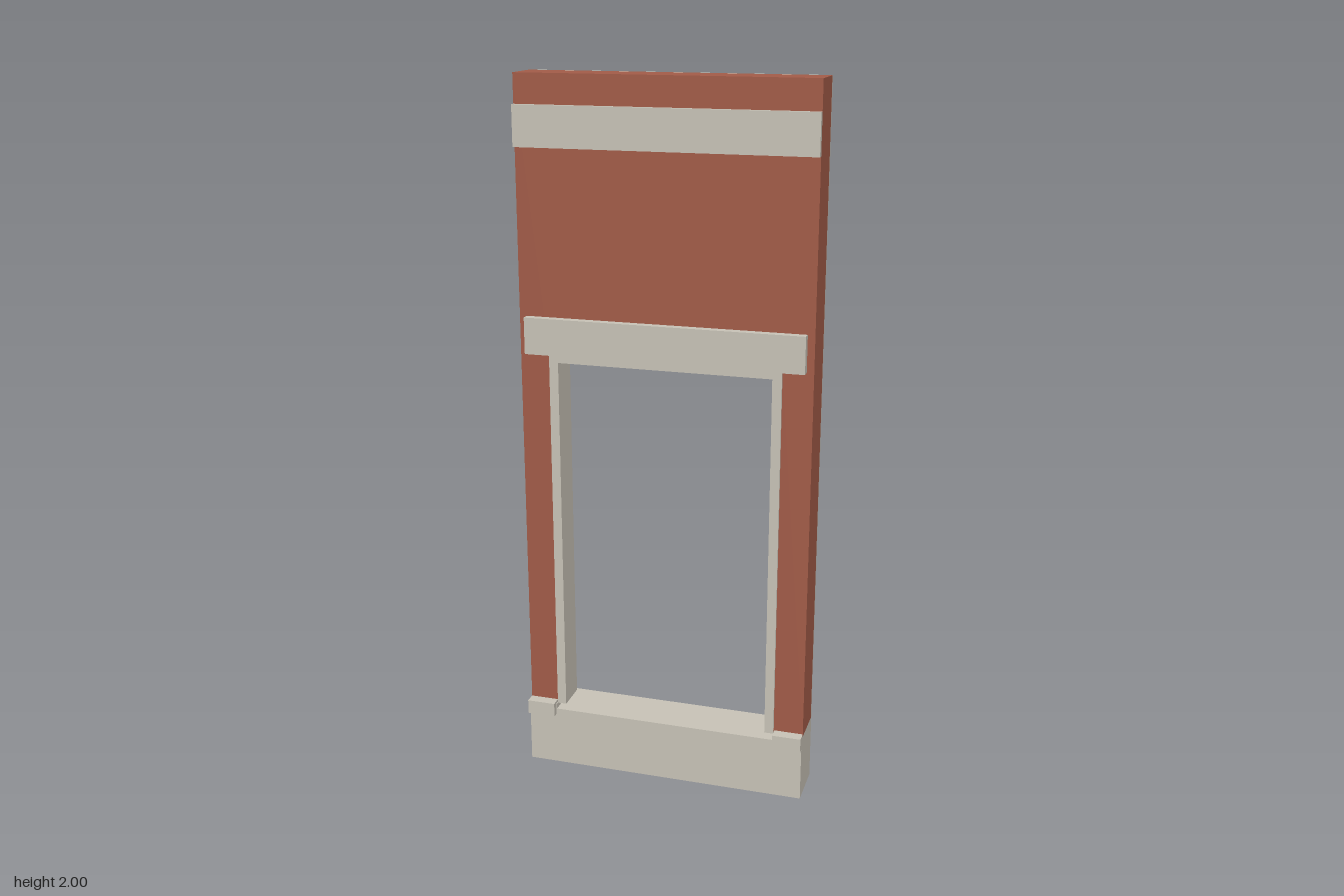
import * as THREE from 'three';

export function createModel() {
  const model = new THREE.Group();
  model.name = 'doorwayWallPanel';
  const brick = new THREE.MeshStandardMaterial({ color: 0xa45d49 });
  brick.name = 'red brick';
  const stone = new THREE.MeshStandardMaterial({ color: 0xcac5b9 });
  stone.name = 'pale stone';

  const HALF = 0.41, OPEN = 0.326, HEAD = 1.252, SILL = 0.175, BASE = 0.19;

  function add(name, geometry, material) {
    const mesh = new THREE.Mesh(geometry, material);
    mesh.name = name;
    model.add(mesh);
  }
  // box given by its limits on each axis
  function box(name, x0, x1, y0, y1, z0, z1) {
    const g = new THREE.BoxGeometry(x1 - x0, y1 - y0, z1 - z0);
    g.translate((x0 + x1) / 2, (y0 + y1) / 2, (z0 + z1) / 2);
    add(name, g, stone);
  }
  // flat outline pushed from z0 to z1
  function slab(name, points, hole, z0, z1, material) {
    const toVectors = list => list.map(([x, y]) => new THREE.Vector2(x, y));
    const shape = new THREE.Shape(toVectors(points));
    if (hole) shape.holes.push(new THREE.Path(toVectors(hole)));
    const g = new THREE.ExtrudeGeometry(shape, { depth: z1 - z0, bevelEnabled: false });
    g.translate(0, 0, z0);
    add(name, g, material);
  }
  // upside-down U around a doorway
  const arch = (outer, inner, bottom, top, head) => [
    [-outer, bottom], [-inner, bottom], [-inner, head], [inner, head],
    [inner, bottom], [outer, bottom], [outer, top], [-outer, top],
  ];

  // brick wall around the doorway
  slab('brickWall', arch(HALF, OPEN, BASE, 2, HEAD), null, -0.072, 0.045, brick);

  // plaster lining over the whole back
  slab('backPlaster',
    [[-HALF, 0], [HALF, 0], [HALF, 2], [-HALF, 2]],
    [[-OPEN, SILL], [-OPEN, HEAD], [OPEN, HEAD], [OPEN, SILL]],
    -0.079, -0.072, stone);

  // stone base, raised under the brick piers
  slab('stoneBase', [
    [-HALF, 0], [HALF, 0], [HALF, BASE], [OPEN, BASE], [OPEN, SILL],
    [-OPEN, SILL], [-OPEN, BASE], [-HALF, BASE],
  ], null, -0.072, 0.06, stone);

  // door frame, set forward in the opening
  slab('doorFrame', arch(OPEN, 0.3, BASE, HEAD, 1.23), null, -0.042, 0.051, stone);

  // front stone trim
  box('upperBand', -HALF, HALF, 1.81, 1.92, 0.045, 0.06);
  box('lintel', -0.39, 0.39, 1.253, 1.355, 0.045, 0.068);
  box('rightPierBlock', -HALF, -0.328, 0.157, 0.198, 0.045, 0.077);
  box('leftPierBlock', 0.328, HALF, 0.157, 0.198, 0.045, 0.077);

  return model;
}
